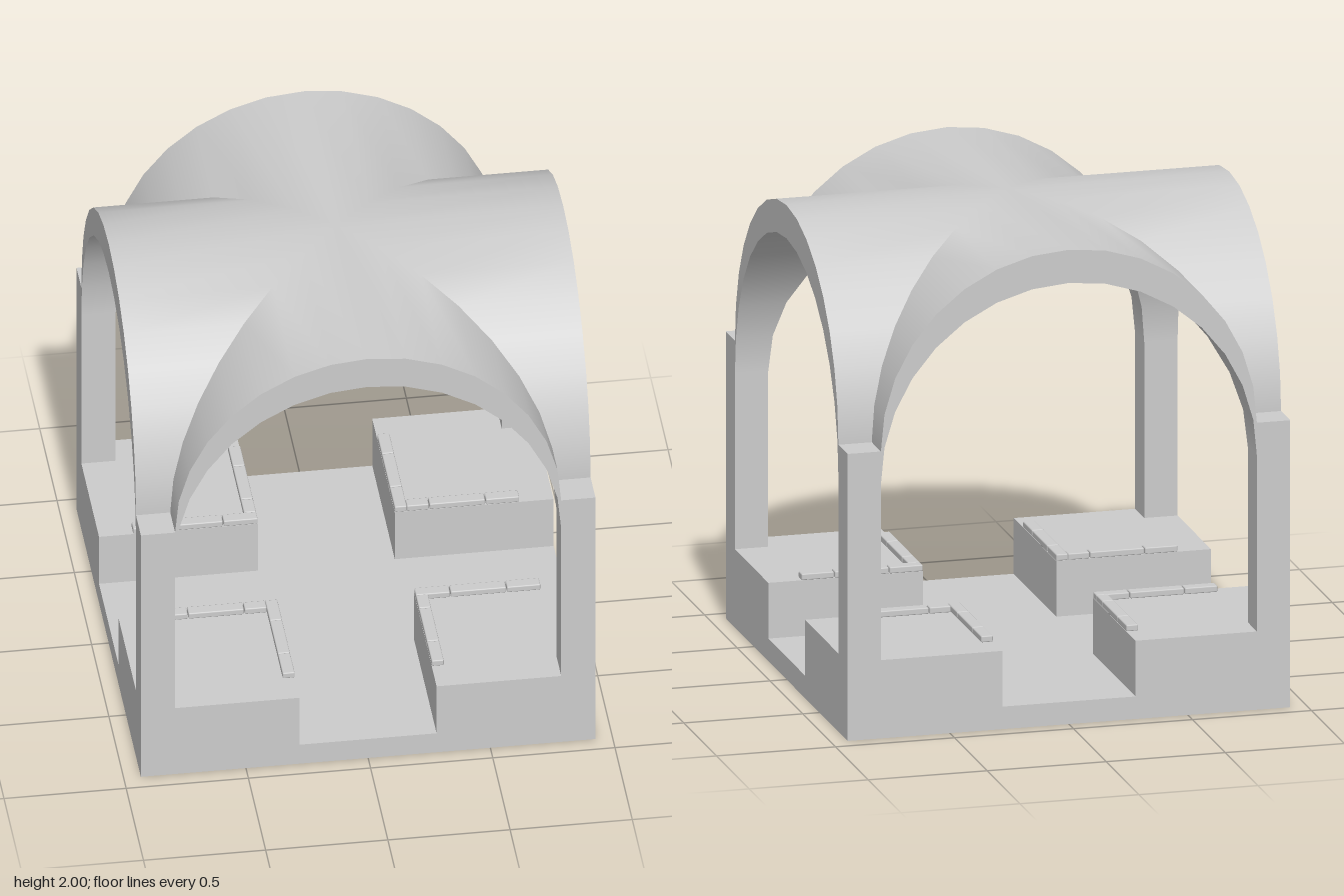
import * as THREE from 'three';
import { RoundedBoxGeometry } from 'three/addons/geometries/RoundedBoxGeometry.js';

const HALF = 0.93;      // half width of the whole pavilion
const R = 0.79;         // arch radius and inner face of the corner posts
const CHANNEL = 0.28;   // half width of the sunken cross
const FLOOR = 0.095, BLOCK = 0.33;
const SPRING_IN = 1.07, SPRING_OUT = 1.21;
const STEPS = 16;

const arch = (springY) => Array.from({ length: STEPS + 1 }, (_, i) => {
  const a = (i / STEPS - 0.5) * Math.PI;
  return { a, x: R * Math.sin(a), y: springY + R * Math.cos(a) };
});

// One quarter of a groin vault: a barrel that stops on the diagonals
function vaultQuarter(springY, side) {
  const pos = [], nor = [], idx = [];
  arch(springY).forEach(({ a, x, y }, i) => {
    pos.push(x, y, Math.abs(x), x, y, HALF);
    const n = new THREE.Vector3(Math.sin(a), Math.cos(a), 0);
    const g = n.clone();
    // near the crown the groin melts into the neighbouring barrel
    if (Math.abs(a) < 0.41) g.set(Math.sin(a) / 2, Math.cos(a), Math.abs(Math.sin(a)) / 2).normalize();
    g.multiplyScalar(side);
    n.multiplyScalar(side);
    nor.push(g.x, g.y, g.z, n.x, n.y, n.z);
    if (i < STEPS) {
      const k = i * 2;
      if (side > 0) idx.push(k, k + 1, k + 3, k, k + 3, k + 2);
      else idx.push(k, k + 3, k + 1, k, k + 2, k + 3);
    }
  });
  const geo = new THREE.BufferGeometry();
  geo.setAttribute('position', new THREE.Float32BufferAttribute(pos, 3));
  geo.setAttribute('normal', new THREE.Float32BufferAttribute(nor, 3));
  geo.setIndex(idx);
  return geo;
}

// Flat crescent between the inner and outer arch
function archFace() {
  const pts = [...arch(SPRING_IN), ...arch(SPRING_OUT).reverse()];
  return new THREE.ShapeGeometry(new THREE.Shape(pts.map((p) => new THREE.Vector2(p.x, p.y))));
}

export function createModel() {
  const model = new THREE.Group();
  model.name = 'vaultedPavilion';
  const stone = new THREE.MeshStandardMaterial({ color: 0xcccccc });
  stone.name = 'grey stone';

  const add = (parent, name, geo, x = 0, y = 0, z = 0) => {
    const mesh = new THREE.Mesh(geo, stone);
    mesh.name = name;
    mesh.position.set(x, y, z);
    parent.add(mesh);
    return mesh;
  };

  // Floor slab
  add(model, 'floor', new THREE.BoxGeometry(2 * HALF, FLOOR, 2 * HALF), 0, FLOOR / 2, 0);

  const blockGeo = new THREE.BoxGeometry(HALF - CHANNEL, BLOCK - FLOOR, HALF - CHANNEL);
  const postGeo = new THREE.BoxGeometry(HALF - R, SPRING_OUT - BLOCK, HALF - R);
  const outer = vaultQuarter(SPRING_OUT, 1);
  const inner = vaultQuarter(SPRING_IN, -1);
  const face = archFace();

  // Kerb segments along the two inner edges of each block
  const W = 0.05, H = 0.027, GAP = 0.003;
  const cuts = [CHANNEL, CHANNEL + 0.14, R - 0.14, R];

  for (let k = 0; k < 4; k++) {
    const quarter = new THREE.Group();
    quarter.name = 'quarter' + (k + 1);
    quarter.rotation.y = k * Math.PI / 2;
    model.add(quarter);

    // Corner platform and post
    const c = (HALF + CHANNEL) / 2, p = (HALF + R) / 2;
    add(quarter, 'platform', blockGeo, c, (BLOCK + FLOOR) / 2, c);
    add(quarter, 'cornerPost', postGeo, p, (SPRING_OUT + BLOCK) / 2, p);

    // Kerb rails
    for (let s = 0; s < 3; s++) {
      const a = cuts[s] + (s ? GAP : 0), b = cuts[s + 1];
      const mid = (a + b) / 2, edge = CHANNEL + W / 2, y = BLOCK + H / 2 - 0.001;
      add(quarter, 'kerbAlongX', new RoundedBoxGeometry(b - a, H, W, 1, 0.005), mid, y, edge);
      const a2 = s ? a : a + W;
      add(quarter, 'kerbAlongZ', new RoundedBoxGeometry(W, H, b - a2, 1, 0.005), edge, y, (a2 + b) / 2);
    }

    // Vault shell
    add(quarter, 'vaultTop', outer);
    add(quarter, 'vaultUnderside', inner);
    add(quarter, 'archFace', face, 0, 0, HALF);
  }
  return model;
}
